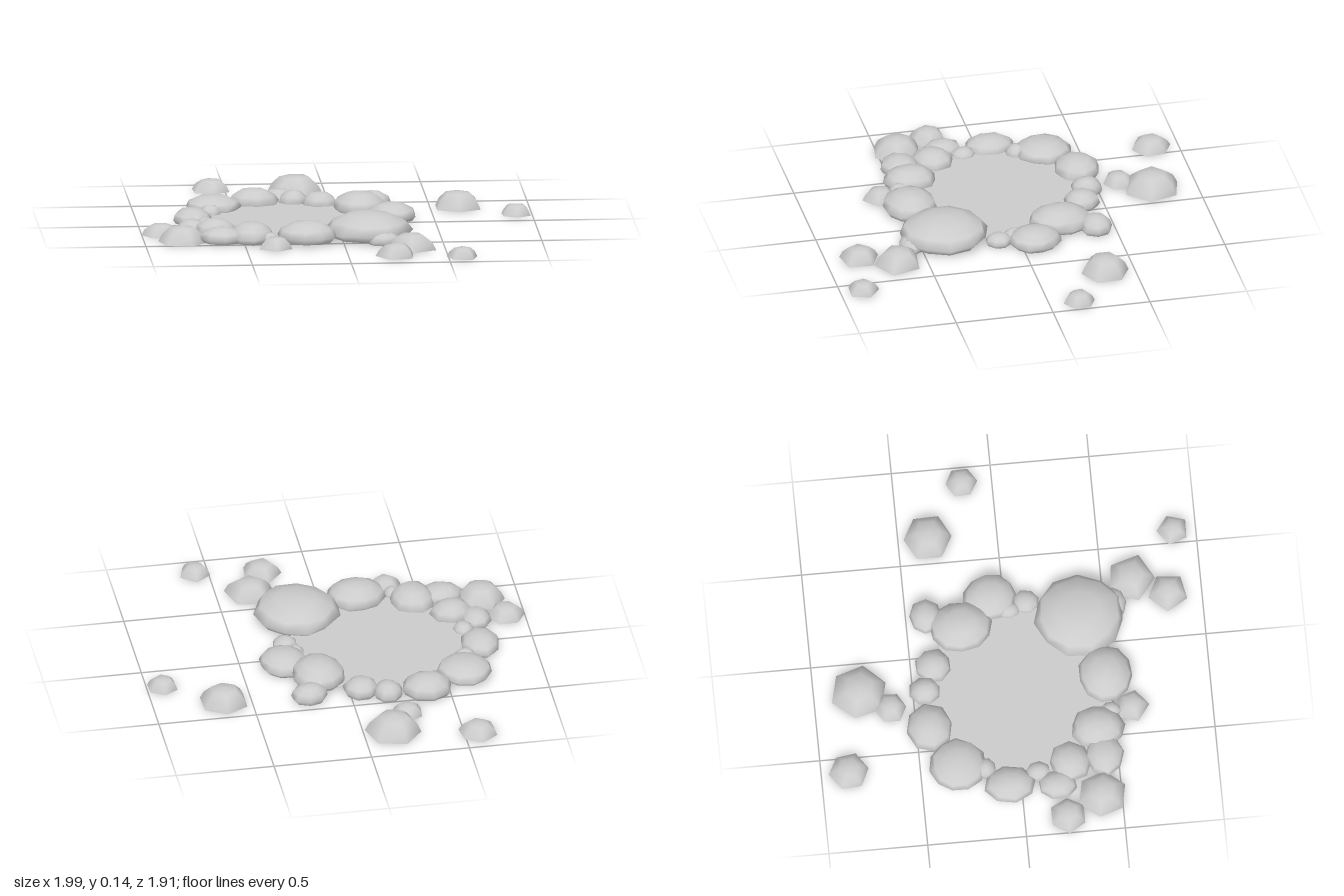
import * as THREE from 'three';

const stoneMaterial = new THREE.MeshStandardMaterial({ color: 0xcccccc, side: THREE.DoubleSide });

// Small repeatable noise in the range -1..1
function noise(a, b) {
  const s = Math.sin(a * 127.1 + b * 311.7) * 43758.5453;
  return (s - Math.floor(s)) * 2 - 1;
}

// Hollow dome from rings of [radius, height] fractions, closed by a crown vertex
function domeGeometry(rx, rz, bottom, top, sides, turn, rings, seed, rough) {
  const pos = [], idx = [];
  const start = THREE.MathUtils.degToRad(turn);
  rings.forEach(([r, h], j) => {
    for (let i = 0; i < sides; i++) {
      const a = start + (i / sides) * Math.PI * 2;
      const k = r * (1 + rough * noise(seed + i, 1 + (j > 1 ? j : 0)));
      const lift = j > 0 ? rough * 0.6 * noise(seed + i, j + 20) : 0;
      pos.push(Math.cos(a) * rx * k, bottom + (top - bottom) * Math.min(h + lift, 1), Math.sin(a) * rz * k);
    }
  });
  pos.push(0.06 * rx * noise(seed, 5), top, 0.06 * rz * noise(seed, 6));
  const crown = rings.length * sides;
  for (let j = 0; j < rings.length; j++) {
    for (let i = 0; i < sides; i++) {
      const n = (i + 1) % sides, a = j * sides + i, b = j * sides + n;
      if (j === rings.length - 1) idx.push(a, crown, b);
      else idx.push(a, a + sides, b, b, a + sides, b + sides);
    }
  }
  const g = new THREE.BufferGeometry();
  g.setAttribute('position', new THREE.Float32BufferAttribute(pos, 3));
  g.setIndex(idx);
  g.computeVertexNormals();
  return g;
}

function addStone(group, name, geometry, x, z) {
  const mesh = new THREE.Mesh(geometry, stoneMaterial);
  mesh.name = name;
  mesh.position.set(x, 0, z);
  group.add(mesh);
}

// Loose stones: x, z, radius, height, sides, turn in degrees
const LOOSE = [
  [-0.57, -0.86, 0.1, 0.06, 6, -95],
  [-0.155, -0.77, 0.142, 0.093, 6, -107],
  [-0.25, -0.62, 0.083, 0.055, 6, -90],
  [0.64, -0.35, 0.125, 0.085, 6, -90],
  [0.92, -0.155, 0.082, 0.055, 6, -92],
  [0.33, 0.65, 0.127, 0.08, 5, -50],
  [0.24, 0.83, 0.103, 0.066, 5, -30],
  [0.57, 0.885, 0.083, 0.053, 5, -90],
  [-0.905, 0.22, 0.095, 0.06, 6, 0],
  [-0.81, 0.4, 0.124, 0.083, 6, -110],
  [-0.35, 0.59, 0.088, 0.058, 5, 90],
];

// Rim stones: x, z, radius along x, radius along z, height
const RIM = [
  [-0.6, -0.31, 0.14, 0.145, 0.092],
  [-0.385, -0.435, 0.128, 0.12, 0.1],
  [-0.185, -0.44, 0.075, 0.08, 0.085],
  [-0.055, -0.385, 0.092, 0.095, 0.085],
  [0.135, -0.23, 0.138, 0.16, 0.115],
  [0.21, -0.4, 0.095, 0.085, 0.085],
  [0.285, -0.07, 0.125, 0.135, 0.09],
  [-0.725, -0.06, 0.1, 0.13, 0.08],
  [-0.625, -0.175, 0.058, 0.055, 0.07],
  [-0.745, 0.18, 0.078, 0.1, 0.07],
  [-0.665, 0.09, 0.055, 0.065, 0.06],
  [-0.63, 0.255, 0.108, 0.108, 0.09],
  [-0.61, 0.43, 0.115, 0.1, 0.08],
  [-0.46, 0.41, 0.113, 0.135, 0.1],
  [-0.37, 0.485, 0.045, 0.055, 0.06],
  [-0.185, 0.475, 0.15, 0.138, 0.115],
  [0.14, 0.37, 0.215, 0.23, 0.136],
  [0.2, 0.55, 0.085, 0.065, 0.07],
  [0.21, 0.02, 0.05, 0.06, 0.06],
  [0.245, 0.11, 0.065, 0.07, 0.06],
];

export function createModel() {
  const model = new THREE.Group();
  model.name = 'stonePond';

  // Flat water surface
  const water = new THREE.Mesh(new THREE.CircleGeometry(1, 32), stoneMaterial);
  water.name = 'waterSurface';
  water.rotation.x = -Math.PI / 2;
  water.scale.set(0.46, 0.47, 1);
  water.position.set(-0.23, 0.024, 0.03);
  model.add(water);

  // Faceted stones scattered on the ground
  const loose = new THREE.Group();
  loose.name = 'looseStones';
  const looseRings = [[1, 0], [0.84, 0.48], [0.52, 0.9]];
  LOOSE.forEach(([x, z, r, h, sides, turn], i) =>
    addStone(loose, 'looseStone', domeGeometry(r, r, 0, h, sides, turn, looseRings, i * 7, 0.04), x, z));
  model.add(loose);

  // Rounder, overhanging stones around the water
  const rim = new THREE.Group();
  rim.name = 'rimStones';
  const rimRings = [[0.86, 0], [1, 0.26], [0.86, 0.62], [0.5, 0.9]];
  RIM.forEach(([x, z, rx, rz, h], i) => {
    const sides = Math.max(rx, rz) > 0.13 ? 11 : 8;
    const bottom = rx > 0.13 ? 0.012 : 0.004;
    addStone(rim, 'rimStone', domeGeometry(rx, rz, bottom, h, sides, i * 37, rimRings, 100 + i * 13, 0.05), x, z);
  });
  model.add(rim);

  return model;
}
